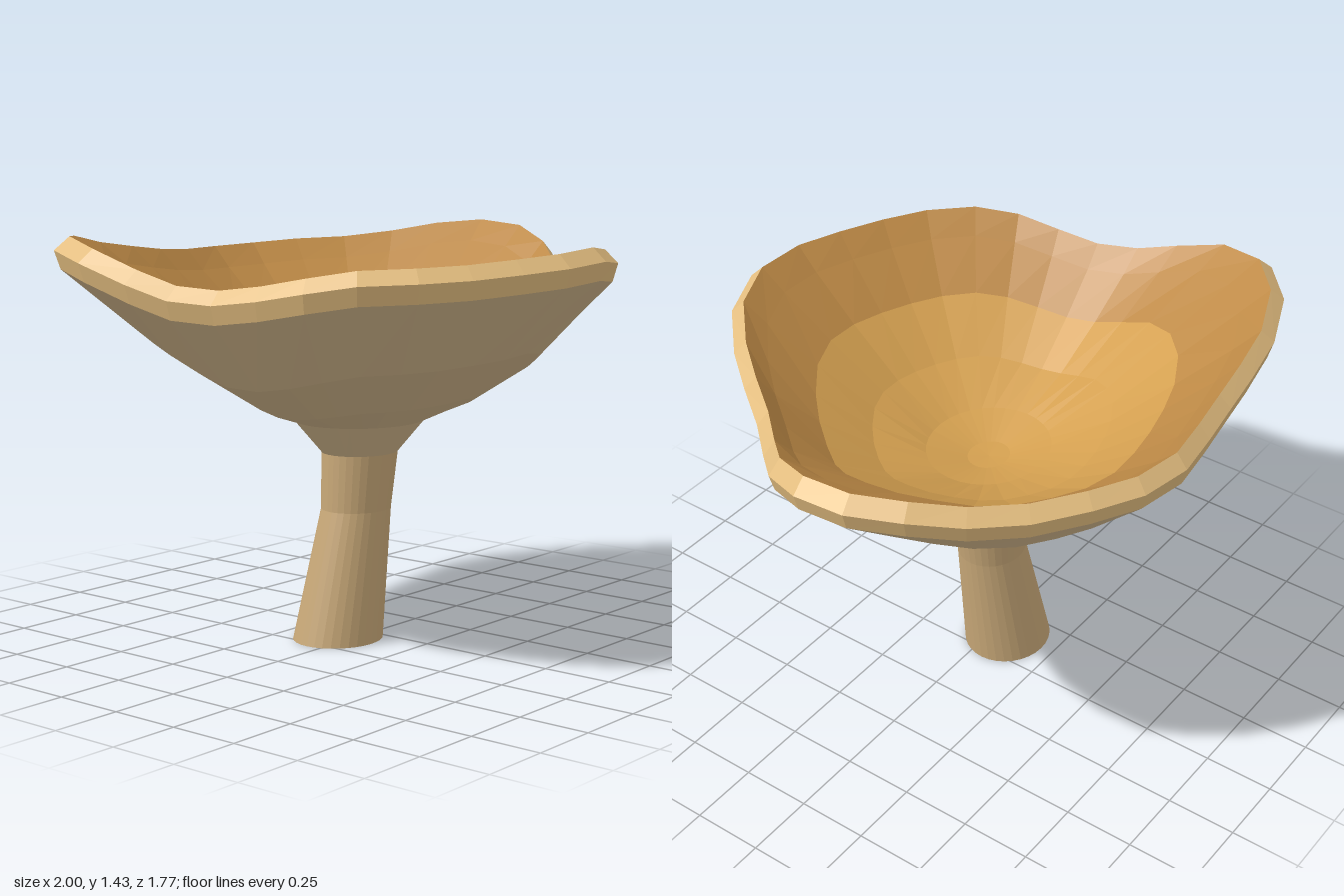
import * as THREE from 'three';

const SEGMENTS = 32;
const RIM_MEAN = 1.36;
const CENTRE = new THREE.Vector3(-0.03, 0, -0.03);

// Wavy rim, one point per segment from +x towards +z: x, height, z
const RIM = [
  [1.0, 1.40, -0.05], [0.92, 1.35, 0.12], [0.80, 1.295, 0.25], [0.66, 1.27, 0.40],
  [0.55, 1.29, 0.55], [0.46, 1.335, 0.67], [0.32, 1.38, 0.80], [0.13, 1.40, 0.875],
  [-0.08, 1.39, 0.88], [-0.26, 1.38, 0.83], [-0.44, 1.37, 0.765], [-0.60, 1.365, 0.68],
  [-0.74, 1.36, 0.55], [-0.83, 1.335, 0.41], [-0.87, 1.305, 0.25], [-0.90, 1.285, 0.09],
  [-0.945, 1.295, -0.06], [-0.98, 1.34, -0.21], [-1.0, 1.40, -0.40], [-0.94, 1.43, -0.58],
  [-0.80, 1.42, -0.71], [-0.60, 1.385, -0.79], [-0.41, 1.36, -0.82], [-0.24, 1.34, -0.84],
  [-0.07, 1.33, -0.865], [0.11, 1.33, -0.89], [0.30, 1.335, -0.86], [0.47, 1.345, -0.78],
  [0.64, 1.35, -0.67], [0.79, 1.37, -0.54], [0.91, 1.40, -0.40], [1.0, 1.415, -0.24],
].map((p) => new THREE.Vector3(...p));

// Oval ring around a given centre
function oval(cx, y, cz, rx, rz) {
  return Array.from({ length: SEGMENTS }, (_, i) => {
    const a = (i / SEGMENTS) * Math.PI * 2;
    return new THREE.Vector3(cx + rx * Math.cos(a), y, cz + rz * Math.sin(a));
  });
}

// Rim outline shrunk by `scale`; `follow` is how much of the rim's wave it keeps,
// `round` how far the outline relaxes into an oval
function cupRing(scale, y, follow, round = 0) {
  const smooth = oval(CENTRE.x, 0, CENTRE.z, 0.98 * scale, 0.88 * scale);
  return RIM.map((p, i) => {
    const v = p.clone().sub(CENTRE).multiplyScalar(scale).add(CENTRE).lerp(smooth[i], round);
    return v.setY(y + (p.y - RIM_MEAN) * follow);
  });
}

// Skin a list of rings with flat facets, dropping collapsed triangles
function skin(name, rings, color) {
  const points = [];
  const face = (a, b, c) => {
    if (a.distanceTo(b) > 1e-6 && b.distanceTo(c) > 1e-6 && c.distanceTo(a) > 1e-6) points.push(a, b, c);
  };
  for (let j = 0; j < rings.length - 1; j++) {
    for (let i = 0; i < SEGMENTS; i++) {
      const k = (i + 1) % SEGMENTS;
      const a = rings[j][i], b = rings[j][k], c = rings[j + 1][i], d = rings[j + 1][k];
      face(a, c, b);
      face(b, c, d);
    }
  }
  const geometry = new THREE.BufferGeometry().setFromPoints(points);
  geometry.computeVertexNormals();
  const mesh = new THREE.Mesh(geometry, new THREE.MeshStandardMaterial({ color, flatShading: true }));
  mesh.name = name;
  return mesh;
}

export function createModel() {
  const group = new THREE.Group();
  group.name = 'cupMushroom';

  // Leaning stalk with a closed foot
  const stalkTop = oval(-0.04, 0.66, -0.022, 0.142, 0.128);
  group.add(skin('stalk', [
    oval(-0.125, 0, -0.052, 0, 0),
    oval(-0.125, 0, -0.052, 0.167, 0.152),
    oval(-0.055, 0.46, -0.027, 0.13, 0.118),
    stalkTop,
  ], 0xc8a878));

  // Underside, flaring from the stalk to the rim
  const rimLower = cupRing(0.98, RIM_MEAN - 0.108, 1);
  group.add(skin('underside', [
    stalkTop,
    oval(-0.04, 0.773, -0.022, 0.24, 0.22),
    cupRing(0.445, 0.85, 0.4, 0.5),
    cupRing(0.705, RIM_MEAN - 0.355, 0.85, 0.2),
    rimLower,
  ], 0xd0b58a));

  // Bevelled pale rim
  const lip = cupRing(0.95, RIM_MEAN, 1);
  group.add(skin('rim', [rimLower, cupRing(1, RIM_MEAN - 0.045, 1), lip], 0xe4be80));

  // Darker upper wall of the bowl
  const bowlEdge = cupRing(0.67, RIM_MEAN - 0.21, 0.8, 0.4);
  group.add(skin('upperBowl', [lip, cupRing(0.86, RIM_MEAN - 0.075, 1, 0.15), bowlEdge], 0xbe8a46));

  // Lighter bowl floor
  group.add(skin('bowlFloor', [
    bowlEdge,
    cupRing(0.45, 1.01, 0.4, 0.6),
    oval(-0.03, 0.92, -0.03, 0.23, 0.21),
    oval(-0.03, 0.88, -0.03, 0.08, 0.07),
    oval(-0.03, 0.875, -0.03, 0, 0),
  ], 0xd4a050));

  return group;
}
